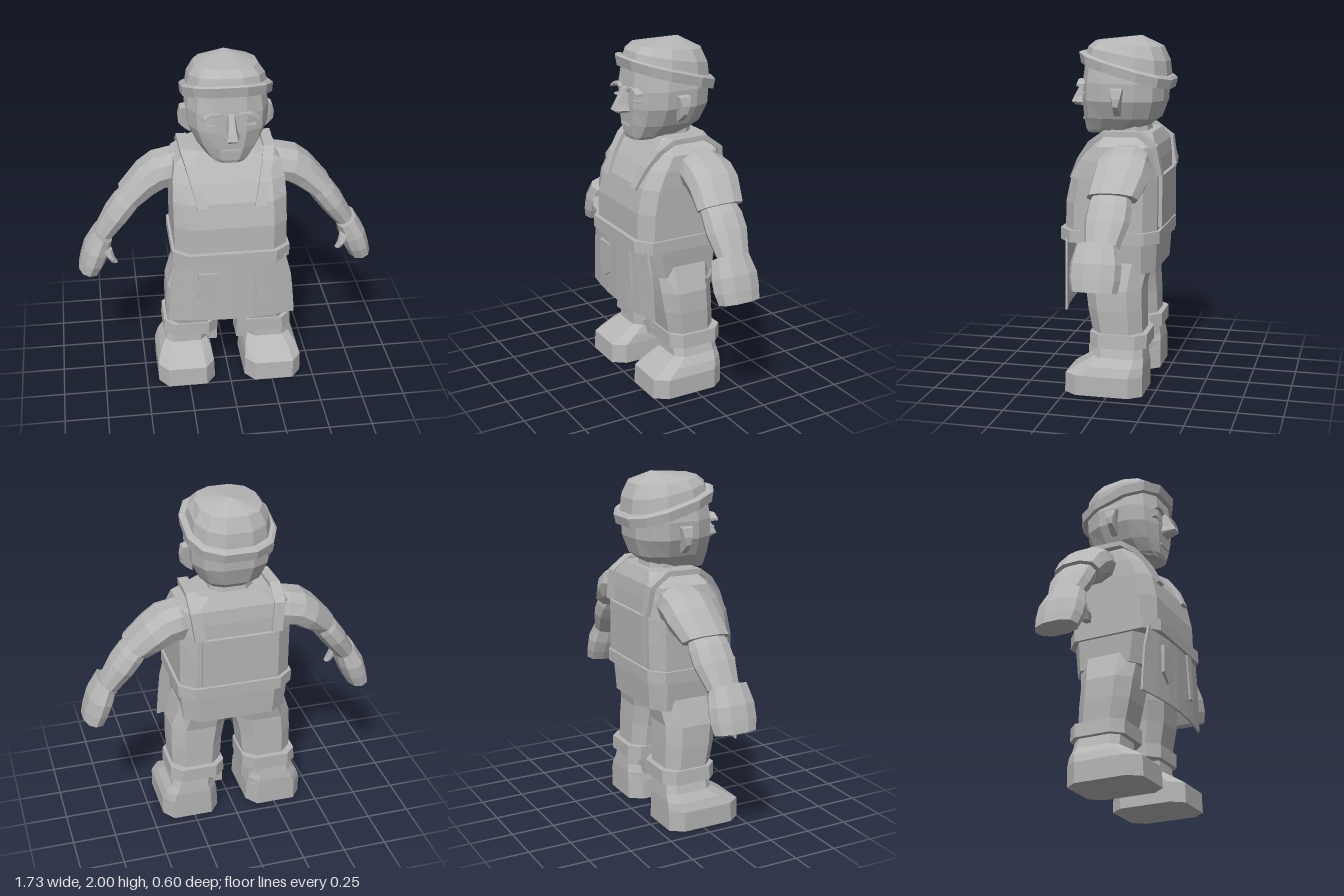
import * as THREE from 'three';

const clay = new THREE.MeshStandardMaterial({ color: 0xb6b6b6 });
clay.name = 'clay grey';
const V = (x, y, z) => new THREE.Vector3(x, y, z);

// Faceted closed solid through matching rings of points
function loft(rings) {
  const n = rings[0].length, tris = [];
  for (let i = 0; i < rings.length - 1; i++)
    for (let j = 0; j < n; j++) {
      const k = (j + 1) % n, a = rings[i], b = rings[i + 1];
      tris.push([a[j], a[k], b[k]], [a[j], b[k], b[j]]);
    }
  const first = rings[0], last = rings[rings.length - 1];
  for (let j = 1; j < n - 1; j++)
    tris.push([first[0], first[j + 1], first[j]], [last[0], last[j], last[j + 1]]);
  // flip the winding when the solid is inside out
  let volume = 0;
  for (const [a, b, c] of tris) volume += a.dot(b.clone().cross(c));
  const pos = [];
  for (const [a, b, c] of tris)
    for (const p of volume < 0 ? [a, c, b] : [a, b, c]) pos.push(p.x, p.y, p.z);
  const g = new THREE.BufferGeometry();
  g.setAttribute('position', new THREE.Float32BufferAttribute(pos, 3));
  g.computeVertexNormals();
  return g;
}

// Rounded-square ring around centre c with half axes u and v
function ring(c, u, v, n = 8, p = 2.6) {
  const pts = [], e = 2 / p, m = Math.cos(Math.PI / n) ** e;
  for (let i = 0; i < n; i++) {
    const a = (i + 0.5) * 2 * Math.PI / n, s = Math.sin(a), k = Math.cos(a);
    pts.push(c.clone()
      .addScaledVector(u, Math.sign(k) * Math.abs(k) ** e / m)
      .addScaledVector(v, Math.sign(s) * Math.abs(s) ** e / m));
  }
  return pts;
}

// Level ring; tilt raises the front
function level(y, x0, x1, zf, zb, n, p, tilt = 0) {
  const r = ring(V((x0 + x1) / 2, y, (zf + zb) / 2), V((x1 - x0) / 2, 0, 0), V(0, 0, (zf - zb) / 2), n, p);
  r.forEach(q => { q.y += tilt * q.z; });
  return r;
}

// Limb ring spanning two x,y points and a z range
const limbRing = (s, [ox, oy, ix, iy, zf, zb]) =>
  ring(V(s * (ox + ix) / 2, (oy + iy) / 2, (zf + zb) / 2),
    V(s * (ox - ix) / 2, (oy - iy) / 2, 0), V(0, 0, (zf - zb) / 2), 10, 2.3);

// Flat band following a path
function strapGeometry(points, width, thick) {
  return loft(points.map((p, i) => {
    const t = points[Math.min(i + 1, points.length - 1)].clone().sub(points[Math.max(i - 1, 0)]);
    const out = V(0, t.z, -t.y).normalize().multiplyScalar(thick / 2);
    const side = V(width / 2, 0, 0);
    return [p.clone().add(side).add(out), p.clone().sub(side).add(out),
      p.clone().sub(side).sub(out), p.clone().add(side).sub(out)];
  }));
}

// Thin extruded outline facing front
function plate(points, z, depth) {
  const g = new THREE.ExtrudeGeometry(
    new THREE.Shape(points.map(([x, y]) => new THREE.Vector2(x, y))), { depth, bevelEnabled: false });
  return g.translate(0, 0, z);
}

export function createModel() {
  const model = new THREE.Group();
  const add = (name, geometry) => {
    const m = new THREE.Mesh(geometry, clay);
    m.name = name;
    model.add(m);
    return m;
  };
  const box = (name, w, h, d, x, y, z) => add(name, new THREE.BoxGeometry(w, h, d)).position.set(x, y, z);
  // rows of y, half width, front z, back z, tilt
  const body = (rows, n, p) => loft(rows.map(([y, hx, zf, zb, t]) => level(y, -hx, hx, zf, zb, n, p, t)));

  // Torso, hips and belt
  add('torso', body([[0.88, 0.32, 0.28, -0.245], [1.08, 0.32, 0.275, -0.25], [1.22, 0.32, 0.245, -0.25],
    [1.32, 0.315, 0.19, -0.245], [1.4, 0.3, 0.13, -0.235], [1.47, 0.2, 0.08, -0.2]], 8, 6));
  add('neck', body([[1.4, 0.13, 0.1, -0.17], [1.52, 0.12, 0.1, -0.15]], 8, 3));
  add('hips', body([[0.69, 0.3, 0.2, -0.235], [0.88, 0.32, 0.24, -0.245]], 8, 5));
  add('belt', body([[0.86, 0.335, 0.305, -0.265], [0.93, 0.335, 0.305, -0.265]], 8, 6));
  box('backPanel', 0.42, 0.29, 0.025, 0, 1.09, -0.258);

  // Apron skirt: a sheet that flares downwards and bows back towards its sides
  const sheet = new THREE.BoxGeometry(2, 0.4, 0.012, 6, 3, 1);
  const sp = sheet.attributes.position;
  for (let i = 0; i < sp.count; i++) {
    const drop = Math.max(0, 0.2 - sp.getY(i)) / 0.4;
    const x = sp.getX(i) * (0.31 + 0.06 * Math.sqrt(drop));
    sp.setXYZ(i, x, 0.88 - 0.4 * drop, sp.getZ(i) + 0.284 - 0.3 * x * x);
  }
  const apron = sheet.toNonIndexed();
  apron.computeVertexNormals();
  add('apron', apron);
  add('pocket', plate([[-0.195, 0.8], [-0.195, 0.64], [-0.14, 0.585], [-0.075, 0.63], [-0.075, 0.8]], 0.275, 0.022));
  add('hangingStrap', plate([[0.11, 0.87], [0.15, 0.6], [0.19, 0.6], [0.165, 0.87]], 0.275, 0.022));

  // Head and face
  add('head', body([[1.45, 0.085, 0.2, 0.05], [1.47, 0.12, 0.207, -0.12], [1.54, 0.175, 0.213, -0.215],
    [1.64, 0.22, 0.218, -0.25], [1.74, 0.225, 0.215, -0.255], [1.82, 0.21, 0.2, -0.25, 0.2]], 12, 2.8));
  add('nose', loft([
    [V(-0.02, 1.75, 0.2), V(0.02, 1.75, 0.2), V(0.015, 1.74, 0.235), V(-0.015, 1.74, 0.235)],
    [V(-0.04, 1.645, 0.2), V(0.04, 1.645, 0.2), V(0.022, 1.65, 0.285), V(-0.022, 1.65, 0.285)],
    [V(-0.052, 1.615, 0.2), V(0.052, 1.615, 0.2), V(0.03, 1.62, 0.298), V(-0.03, 1.62, 0.298)],
    [V(-0.045, 1.6, 0.2), V(0.045, 1.6, 0.2), V(0.02, 1.602, 0.275), V(-0.02, 1.602, 0.275)]]));
  box('mouth', 0.1, 0.014, 0.025, 0, 1.53, 0.21);
  for (const s of [-1, 1]) {
    add('eyebrow', plate([[0.04, 1.725], [0.07, 1.74], [0.11, 1.74], [0.15, 1.715], [0.15, 1.73],
      [0.11, 1.755], [0.06, 1.755], [0.04, 1.74]].map(([x, y]) => [s * x, y]), 0.19, 0.045));
    box('eye', 0.08, 0.01, 0.035, s * 0.095, 1.68, 0.204);
    add('ear', loft([
      [V(s * 0.2, 1.56, 0.005), V(s * 0.2, 1.56, -0.03), V(s * 0.2, 1.72, -0.05), V(s * 0.2, 1.72, 0.025)],
      [V(s * 0.235, 1.585, 0.005), V(s * 0.235, 1.585, -0.03), V(s * 0.255, 1.71, -0.05), V(s * 0.255, 1.71, 0.02)],
      [V(s * 0.265, 1.615, 0), V(s * 0.265, 1.615, -0.025), V(s * 0.268, 1.66, -0.04), V(s * 0.268, 1.66, 0.005)]]));
  }

  // Cap tilted back, with a thick band
  add('cap', body([[1.83, 0.222, 0.2, -0.27, 0.28], [1.905, 0.208, 0.185, -0.26, 0.18],
    [1.958, 0.172, 0.145, -0.225, 0.09], [2.0, 0.002, -0.109, -0.111]], 12, 2.5));
  add('capBand', body([[1.785, 0.245, 0.225, -0.285, 0.28], [1.84, 0.25, 0.235, -0.298, 0.28],
    [1.852, 0.235, 0.22, -0.285, 0.28]], 12, 2.6));

  for (const s of [-1, 1]) {
    // Apron straps over the shoulders
    add('shoulderStrap', strapGeometry([V(s * 0.16, 1.2, 0.255), V(s * 0.19, 1.32, 0.2), V(s * 0.215, 1.41, 0.135),
      V(s * 0.235, 1.465, 0.06), V(s * 0.24, 1.47, -0.14), V(s * 0.24, 1.4, -0.235), V(s * 0.22, 1.24, -0.26)],
      0.06, 0.03));

    // Arms: rows of outer x,y, inner x,y, front z, back z
    const limb = (name, rows) => add(name, loft(rows.map(r => limbRing(s, r))));
    limb('sleeve', [[0.22, 1.42, 0.24, 1.2, 0.02, -0.2], [0.32, 1.41, 0.3, 1.2, 0.05, -0.225],
      [0.42, 1.385, 0.34, 1.205, 0.06, -0.235], [0.5, 1.325, 0.405, 1.17, 0.06, -0.235],
      [0.61, 1.2, 0.485, 1.12, 0.07, -0.2]]);
    limb('forearm', [[0.58, 1.2, 0.48, 1.13, 0.045, -0.16], [0.635, 1.155, 0.515, 1.08, 0.055, -0.175],
      [0.69, 1.08, 0.57, 1.01, 0.06, -0.175], [0.755, 0.96, 0.665, 0.9, 0.04, -0.14]]);
    limb('hand', [[0.765, 0.97, 0.665, 0.905, 0.085, -0.135], [0.825, 0.87, 0.685, 0.825, 0.105, -0.16],
      [0.85, 0.79, 0.715, 0.755, 0.105, -0.16], [0.865, 0.725, 0.745, 0.7, 0.09, -0.15]]);
    limb('thumb', [[0.74, 0.88, 0.67, 0.87, 0.09, 0.02], [0.7, 0.83, 0.655, 0.815, 0.1, 0.035],
      [0.68, 0.795, 0.64, 0.79, 0.09, 0.045]]);

    // Legs: rows of y, inner x, outer x, front z, back z
    const leg = (name, rows, n, p) => add(name,
      loft(rows.map(([y, a, b, zf, zb]) => level(y, s * a, s * b, zf, zb, n, p))));
    leg('trouserLeg', [[0.23, 0.13, 0.34, 0.07, -0.16], [0.3, 0.075, 0.36, 0.1, -0.18],
      [0.48, 0.06, 0.365, 0.135, -0.175], [0.6, 0.035, 0.36, 0.15, -0.17], [0.75, 0.02, 0.31, 0.16, -0.2]], 8, 3);
    leg('trouserCuff', [[0.27, 0.06, 0.385, 0.12, -0.21], [0.35, 0.06, 0.38, 0.12, -0.21]], 8, 4);
    leg('innerHem', [[0.17, 0.06, 0.12, 0.03, -0.12], [0.32, 0.06, 0.16, 0.04, -0.13]], 4, 2);
    leg('boot', [[0, 0.09, 0.43, 0.255, -0.195], [0.115, 0.095, 0.43, 0.25, -0.195],
      [0.165, 0.105, 0.41, 0.17, -0.195], [0.21, 0.125, 0.375, 0.095, -0.19], [0.29, 0.12, 0.35, 0.09, -0.18]], 8, 4.5);
  }
  return model;
}
